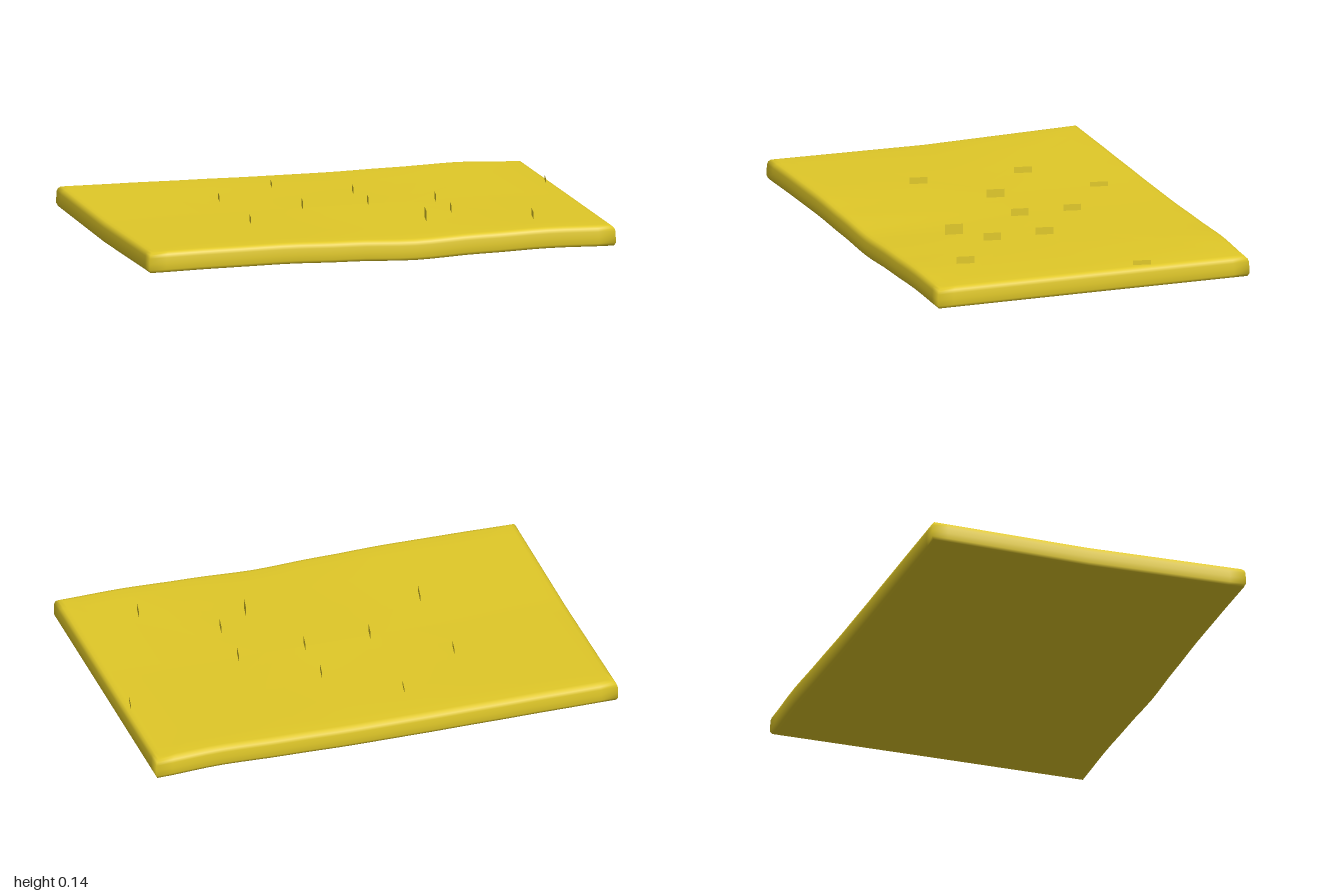
import * as THREE from 'three';

const HX = 1, HZ = 0.685;

// gentle height offsets: rows from front to back, columns from x = -1 to x = 1
const WAVES = [
  [0, 0.003, 0.004, -0.003, -0.013, -0.003, 0.003, -0.003],
  [-0.008, 0, 0, 0, 0, 0, 0, -0.004],
  [0.005, 0.003, 0, -0.003, -0.004, 0, 0.006, -0.006],
];

function wave(x, z) {
  const sample = (row) => {
    const u = THREE.MathUtils.clamp((x + HX) / (2 * HX), 0, 1) * 7;
    const i = Math.min(6, Math.floor(u));
    return THREE.MathUtils.lerp(row[i], row[i + 1], THREE.MathUtils.smoothstep(u - i, 0, 1));
  };
  const v = THREE.MathUtils.clamp((HZ - z) / HZ, 0, 2);
  const j = Math.min(1, Math.floor(v));
  return THREE.MathUtils.lerp(sample(WAVES[j]), sample(WAVES[j + 1]), v - j);
}

// section from the middle of the underside, round the edge, to the middle of the top: [inset, height]
const SECTION = [
  [HZ, 0.021], [0.45, 0.021], [0.24, 0.021], [0.1, 0.017], [0.03, 0.013], [0.006, 0.014],
  [0, 0.026], [0, 0.05], [0.001, 0.075], [0.005, 0.088], [0.014, 0.097], [0.03, 0.1],
  [0.1, 0.101], [0.24, 0.1], [0.45, 0.099], [HZ, 0.099],
];

function slabGeometry() {
  const nx = 28, nz = 20, n = 2 * (nx + nz);
  const positions = [], index = [];
  for (const [inset, y] of SECTION) {
    const a = HX - inset, b = HZ - inset;
    const corners = [[-a, b], [a, b], [a, -b], [-a, -b]];
    corners.forEach(([x0, z0], c) => {
      const [x1, z1] = corners[(c + 1) % 4];
      const steps = c % 2 ? nz : nx;
      for (let i = 0; i < steps; i++) {
        const x = THREE.MathUtils.lerp(x0, x1, i / steps);
        const z = THREE.MathUtils.lerp(z0, z1, i / steps);
        positions.push(x, y + wave(x, z), z);
      }
    });
  }
  for (let k = 0; k < SECTION.length - 1; k++) {
    for (let i = 0; i < n; i++) {
      const a = k * n + i, b = k * n + (i + 1) % n;
      index.push(a, b, b + n, a, b + n, a + n);
    }
  }
  const geometry = new THREE.BufferGeometry();
  geometry.setAttribute('position', new THREE.Float32BufferAttribute(positions, 3));
  geometry.setIndex(index);
  geometry.computeVertexNormals();
  return geometry;
}

// upright blades: [x, z, top height]
const BLADES = [
  [-0.145, -0.455, 0.118], [-0.435, -0.23, 0.125], [0.14, -0.23, 0.125], [0.965, -0.225, 0.115],
  [-0.145, 0, 0.134], [0.137, 0, 0.13], [0.425, 0, 0.13], [-0.435, 0.23, 0.128],
  [0.425, 0.23, 0.13], [0.283, 0.345, 0.14], [0.71, 0.455, 0.132],
];

export function createModel() {
  const model = new THREE.Group();
  model.name = 'groundTile';

  const color = 0xe0c828;
  const slab = new THREE.Mesh(slabGeometry(), new THREE.MeshStandardMaterial({ color }));
  slab.name = 'groundSlab';
  model.add(slab);

  // thin grass blades, all turned the same way
  const blades = new THREE.Group();
  blades.name = 'grassBlades';
  const bladeMaterial = new THREE.MeshStandardMaterial({ color, side: THREE.DoubleSide });
  for (const [x, z, top] of BLADES) {
    const base = 0.085;
    const blade = new THREE.Mesh(new THREE.PlaneGeometry(0.074, top - base), bladeMaterial);
    blade.name = 'grassBlade';
    blade.position.set(x, (top + base) / 2, z);
    blade.rotation.y = Math.PI / 2 - 0.2;
    blades.add(blade);
  }
  model.add(blades);

  // rest on the ground
  model.position.y = -new THREE.Box3().setFromObject(model).min.y;
  return model;
}
